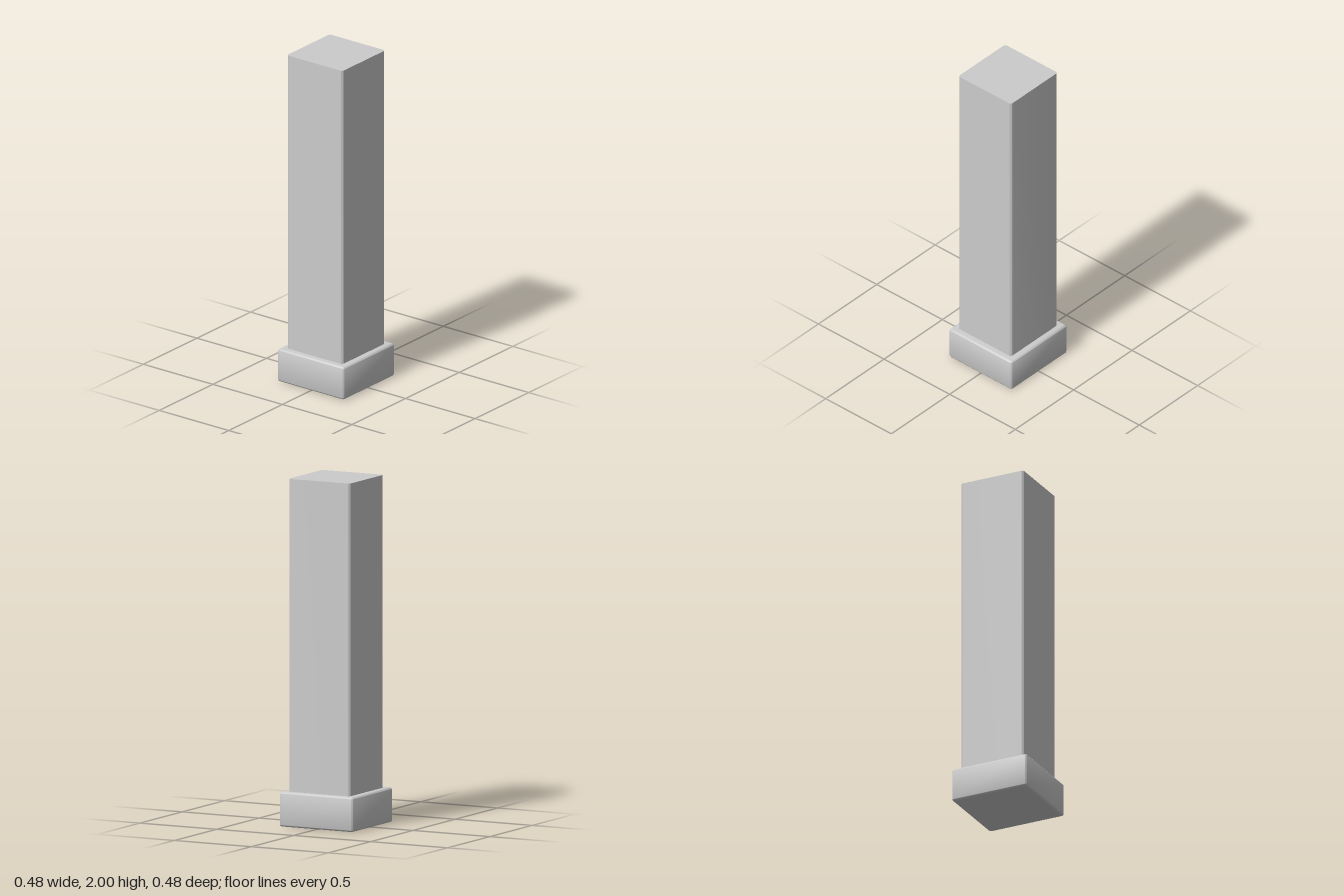
import * as THREE from 'three';
import { toCreasedNormals } from 'three/addons/utils/BufferGeometryUtils.js';
import { RoundedBoxGeometry } from 'three/addons/geometries/RoundedBoxGeometry.js';

// Square outline with rounded corners, centred on the origin
function roundedSquare(half, radius) {
  const shape = new THREE.Shape();
  const inner = half - radius;
  for (let i = 0; i < 4; i++) {
    const start = i * Math.PI / 2;
    const cx = i === 0 || i === 3 ? inner : -inner;
    const cy = i < 2 ? inner : -inner;
    shape.absarc(cx, cy, radius, start, start + Math.PI / 2, false);
  }
  shape.closePath();
  return shape;
}

export function createModel() {
  const model = new THREE.Group();
  model.name = 'pillar';
  const stone = new THREE.MeshStandardMaterial({ color: 0xcccccc });
  stone.name = 'pale grey stone';

  // Plinth: square block softened on every edge
  const plinthGeometry = new RoundedBoxGeometry(0.48, 0.2, 0.48, 3, 0.016);
  const plinth = new THREE.Mesh(toCreasedNormals(plinthGeometry, 0.7), stone);
  plinth.name = 'plinth';
  plinth.position.y = 0.1;
  model.add(plinth);

  // Shaft: rounded upright edges, crisp flat top
  const shaftGeometry = new THREE.ExtrudeGeometry(roundedSquare(0.2, 0.016), {
    depth: 1.8, bevelEnabled: false, curveSegments: 4,
  });
  shaftGeometry.rotateX(-Math.PI / 2);
  const shaft = new THREE.Mesh(toCreasedNormals(shaftGeometry, 0.7), stone);
  shaft.name = 'shaft';
  shaft.position.y = 0.2;
  model.add(shaft);

  return model;
}
